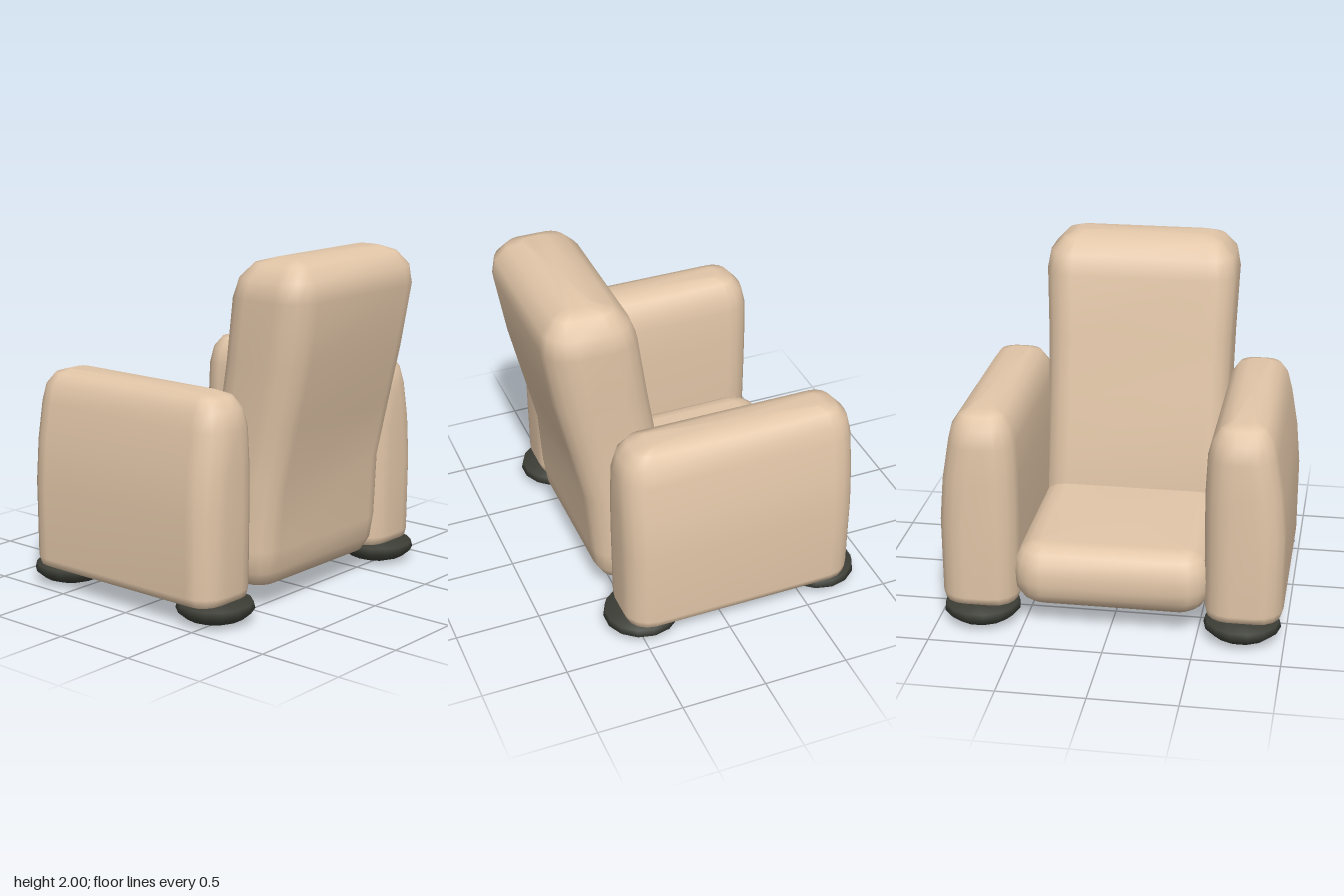
import * as THREE from 'three';

const fabric = new THREE.MeshStandardMaterial({ color: 0xe2c6a8 });
const rubber = new THREE.MeshStandardMaterial({ color: 0x3c3e36 });
const CORNER = 4; // segments per rounded corner

// Lofts rounded rectangles stacked upwards; each ring is [y, x0, x1, z0, z1, radius].
function loft(rings) {
  const pos = [], idx = [];
  const n = 4 * (CORNER + 1);
  for (const [y, x0, x1, z0, z1, r] of rings) {
    for (let q = 0; q < 4; q++) {
      const cx = q === 0 || q === 3 ? x1 - r : x0 + r;
      const cz = q < 2 ? z1 - r : z0 + r;
      for (let k = 0; k <= CORNER; k++) {
        const a = (q + k / CORNER) * Math.PI / 2;
        pos.push(cx + r * Math.cos(a), y, cz + r * Math.sin(a));
      }
    }
  }
  for (let j = 0; j < rings.length - 1; j++) {
    for (let i = 0; i < n; i++) {
      const a = j * n + i, b = j * n + (i + 1) % n;
      idx.push(a, a + n, b, b, a + n, b + n);
    }
  }
  // Flat caps
  const last = rings.length - 1;
  for (const [j, top] of [[0, false], [last, true]]) {
    const [y, x0, x1, z0, z1] = rings[j];
    const c = pos.length / 3;
    pos.push((x0 + x1) / 2, y, (z0 + z1) / 2);
    for (let i = 0; i < n; i++) {
      const a = j * n + i, b = j * n + (i + 1) % n;
      if (top) idx.push(c, b, a);
      else idx.push(c, a, b);
    }
  }
  const g = new THREE.BufferGeometry();
  g.setAttribute('position', new THREE.Float32BufferAttribute(pos, 3));
  g.setIndex(idx);
  g.computeVertexNormals();
  return g;
}

export function createModel() {
  const group = new THREE.Group();
  const add = (name, geometry, material) => {
    const mesh = new THREE.Mesh(geometry, material);
    mesh.name = name;
    group.add(mesh);
    return mesh;
  };

  // Seat cushion: evenly rounded block
  const seat = [];
  const R = 0.16;
  const seatRing = (y, inset) =>
    seat.push([y, -0.805 + inset, 0.45 - inset, -0.57 + inset, 0.57 - inset, 0.18 - inset]);
  for (let k = 0; k <= 4; k++) {
    const a = k / 4 * Math.PI / 2;
    seatRing(0.125 + R * (1 - Math.cos(a)), R * (1 - Math.sin(a)));
  }
  for (let k = 4; k >= 0; k--) {
    const a = k / 4 * Math.PI / 2;
    seatRing(0.51 - R * (1 - Math.cos(a)), R * (1 - Math.sin(a)));
  }
  add('seat', loft(seat), fabric);

  // Backrest: reclined and bent, [y, front, rear, half width, corner radius]
  const back = [
    [0.125, 0.27, 0.49, 0.41, 0.04],
    [0.15, 0.2, 0.575, 0.5, 0.1],
    [0.23, 0.145, 0.62, 0.555, 0.14],
    [0.36, 0.135, 0.64, 0.577, 0.16],
    [0.74, 0.17, 0.67, 0.56, 0.16],
    [1.08, 0.23, 0.75, 0.556, 0.16],
    [1.42, 0.285, 0.83, 0.562, 0.17],
    [1.78, 0.34, 0.89, 0.575, 0.17],
    [1.89, 0.38, 0.873, 0.555, 0.15],
    [1.97, 0.46, 0.805, 0.48, 0.09],
    [2.0, 0.57, 0.72, 0.4, 0.04],
  ];
  add('backrest', loft(back.map(([y, x0, x1, hz, r]) => [y, x0, x1, -hz, hz, r])), fabric);

  // Armrests: outer side curves inwards towards the top
  const arm = [
    [0.12, -0.755, 0.55, 0.58, 0.94, 0.1],
    [0.135, -0.785, 0.58, 0.55, 0.97, 0.13],
    [0.18, -0.805, 0.597, 0.535, 0.985, 0.16],
    [0.63, -0.805, 0.6, 0.53, 0.988, 0.16],
    [0.88, -0.805, 0.6, 0.53, 0.967, 0.16],
    [1.1, -0.803, 0.595, 0.54, 0.93, 0.16],
    [1.2, -0.78, 0.57, 0.565, 0.905, 0.14],
    [1.265, -0.72, 0.51, 0.61, 0.86, 0.09],
    [1.29, -0.635, 0.42, 0.67, 0.8, 0.04],
  ];
  // Feet: squat round pads
  const pad = new THREE.LatheGeometry([
    [0, 0.005], [0.1, 0.005], [0.17, 0.03], [0.222, 0.075], [0.212, 0.115], [0.12, 0.135], [0, 0.138],
  ].map(([x, y]) => new THREE.Vector2(x, y)), 14);

  for (const s of [1, -1]) {
    const side = s > 0 ? 'PositiveZ' : 'NegativeZ';
    const rings = arm.map(([y, x0, x1, z0, z1, r]) =>
      s > 0 ? [y, x0, x1, z0, z1, r] : [y, x0, x1, -z1, -z0, r]);
    add('armrest' + side, loft(rings), fabric);
    for (const [end, x] of [['front', -0.667], ['rear', 0.457]]) {
      add(end + 'Foot' + side, pad, rubber).position.set(x, 0, s * 0.755);
    }
  }
  return group;
}
